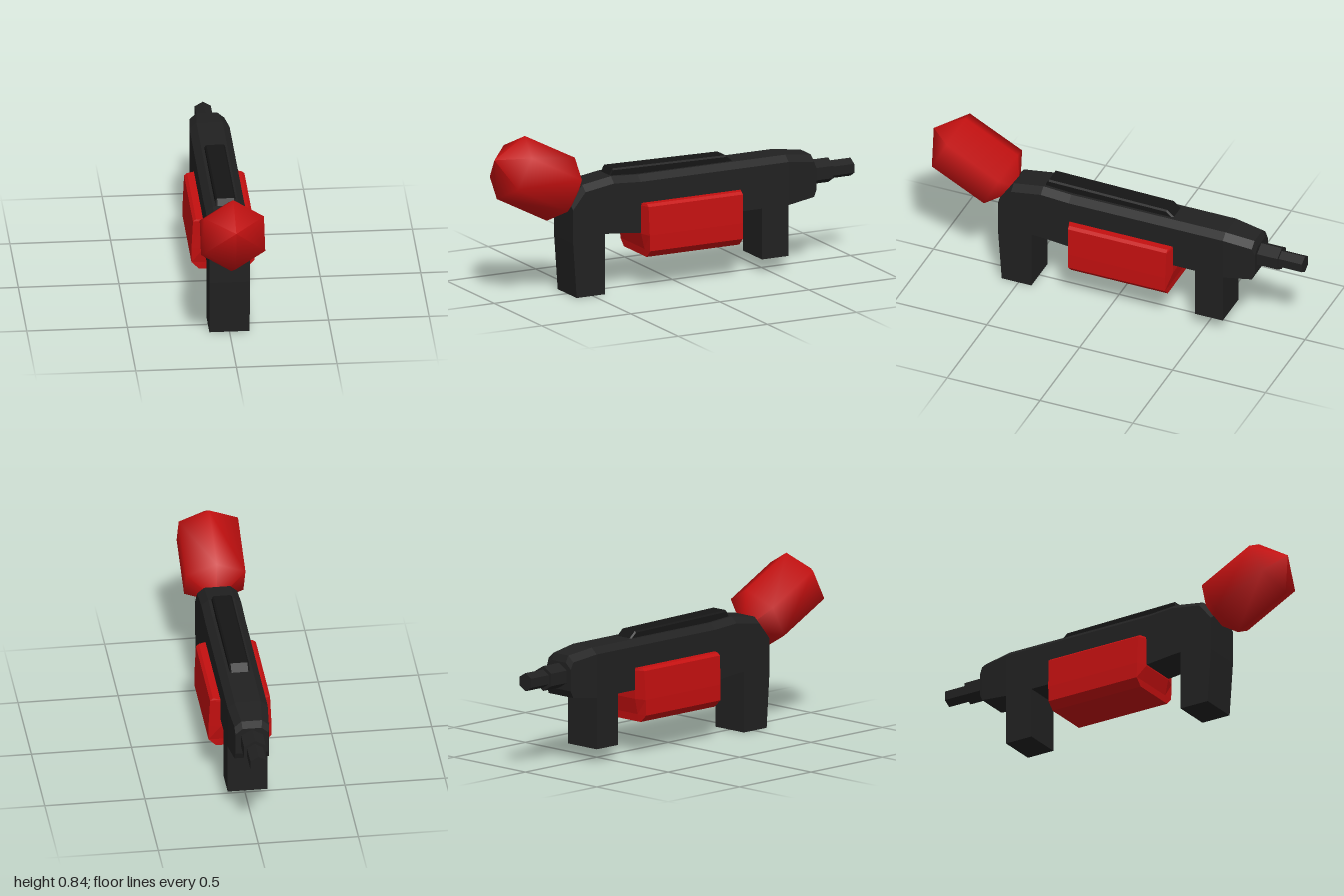
import * as THREE from 'three';

const black = new THREE.MeshStandardMaterial({ color: 0x212121, flatShading: true });
const darker = new THREE.MeshStandardMaterial({ color: 0x151515, flatShading: true });
const red = new THREE.MeshStandardMaterial({ color: 0xc41010, flatShading: true });
const redSmooth = new THREE.MeshStandardMaterial({ color: 0xc41010 });

// Skin a list of equal-sized convex rings and cap both ends
function loft(rings) {
  const pos = [];
  const tri = (a, b, c) => pos.push(...a, ...b, ...c);
  const n = rings[0].length;
  for (let i = 0; i < rings.length - 1; i++) {
    for (let j = 0; j < n; j++) {
      const k = (j + 1) % n;
      tri(rings[i][j], rings[i][k], rings[i + 1][k]);
      tri(rings[i][j], rings[i + 1][k], rings[i + 1][j]);
    }
  }
  const first = rings[0], last = rings[rings.length - 1];
  for (let j = 1; j < n - 1; j++) {
    tri(first[0], first[j + 1], first[j]);
    tri(last[0], last[j], last[j + 1]);
  }
  const geo = new THREE.BufferGeometry();
  geo.setAttribute('position', new THREE.Float32BufferAttribute(pos, 3));
  geo.computeVertexNormals();
  return geo;
}

// Cross-section at z with chamfered top corners
const section = (z, bottom, top, hw, cx, cy) => [
  [-hw, bottom, z], [hw, bottom, z], [hw, top - cy, z],
  [hw - cx, top, z], [-hw + cx, top, z], [-hw, top - cy, z],
];

export function createModel() {
  const group = new THREE.Group();
  const add = (name, geo, mat) => {
    const mesh = new THREE.Mesh(geo, mat);
    mesh.name = name;
    group.add(mesh);
    return mesh;
  };

  // Long receiver: z, bottom, top, half width
  add('body', loft([
    [-0.765, 0.385, 0.525, 0.083],
    [-0.75, 0.35, 0.56, 0.086],
    [-0.6, 0.33, 0.58, 0.1],
    [0.2, 0.33, 0.58, 0.1],
    [0.23, 0.29, 0.58, 0.1],
    [0.38, 0.305, 0.59, 0.1],
    [0.54, 0.315, 0.565, 0.1],
    [0.61, 0.28, 0.48, 0.1],
  ].map(([z, b, t, w]) => section(z, b, t, w, 0.035, 0.03))), black);

  // Rear grip, its back edge leaning slightly inwards
  const gripRing = (y, zBack) => [
    [0.1, y, zBack], [0.1, y, 0.43], [-0.1, y, 0.43], [-0.1, y, zBack],
  ];
  add('rearGrip', loft([gripRing(0, 0.59), gripRing(0.28, 0.61), gripRing(0.44, 0.61)]), black);

  // Front grip
  const frontGrip = add('frontGrip', new THREE.BoxGeometry(0.2, 0.32, 0.15), black);
  frontGrip.position.set(0, 0.23, -0.525);

  // Raised rail with sloped ends
  add('topRail', loft([
    [-0.315, 0.578], [-0.275, 0.612], [0.36, 0.622], [0.38, 0.585],
  ].map(([z, t]) => section(z, 0.56, t, 0.05, 0.008, 0.008))), darker);

  // Stepped hexagonal barrel: name, radius, start z, end z
  for (const [name, r, z0, z1] of [
    ['barrelCollar', 0.063, -0.74, -0.875],
    ['barrelMuzzle', 0.046, -0.86, -1],
  ]) {
    const barrel = add(name, new THREE.CylinderGeometry(r, r, z0 - z1, 6), black);
    barrel.rotation.x = Math.PI / 2;
    barrel.position.set(0, 0.455, (z0 + z1) / 2);
  }

  // Red housing wrapped around the belly: y, half width, inner and outer half length
  const zc = -0.052;
  add('sideHousing', loft([
    [0.168, 0.12, 0.26, 0.26],
    [0.205, 0.157, 0.262, 0.26],
    [0.285, 0.157, 0.28, 0.262],
    [0.43, 0.15, 0.28, 0.265],
    [0.442, 0.135, 0.278, 0.265],
  ].map(([y, w, li, lo]) => [
    [0.1, y, zc + li], [w, y, zc + lo], [w, y, zc - lo], [0.1, y, zc - li],
    [-0.1, y, zc - li], [-w, y, zc - lo], [-w, y, zc + lo], [-0.1, y, zc + li],
  ])), red);

  // Tilted six-sided canister with pointed ends
  const profile = [[0, -0.262], [0.171, -0.158], [0.171, 0.158], [0, 0.262]]
    .map(([r, y]) => new THREE.Vector2(r, y));
  const canister = add('canister', new THREE.LatheGeometry(profile, 6), redSmooth);
  canister.rotation.x = THREE.MathUtils.degToRad(62.6);
  canister.position.set(0, 0.611, 0.766);

  return group;
}
